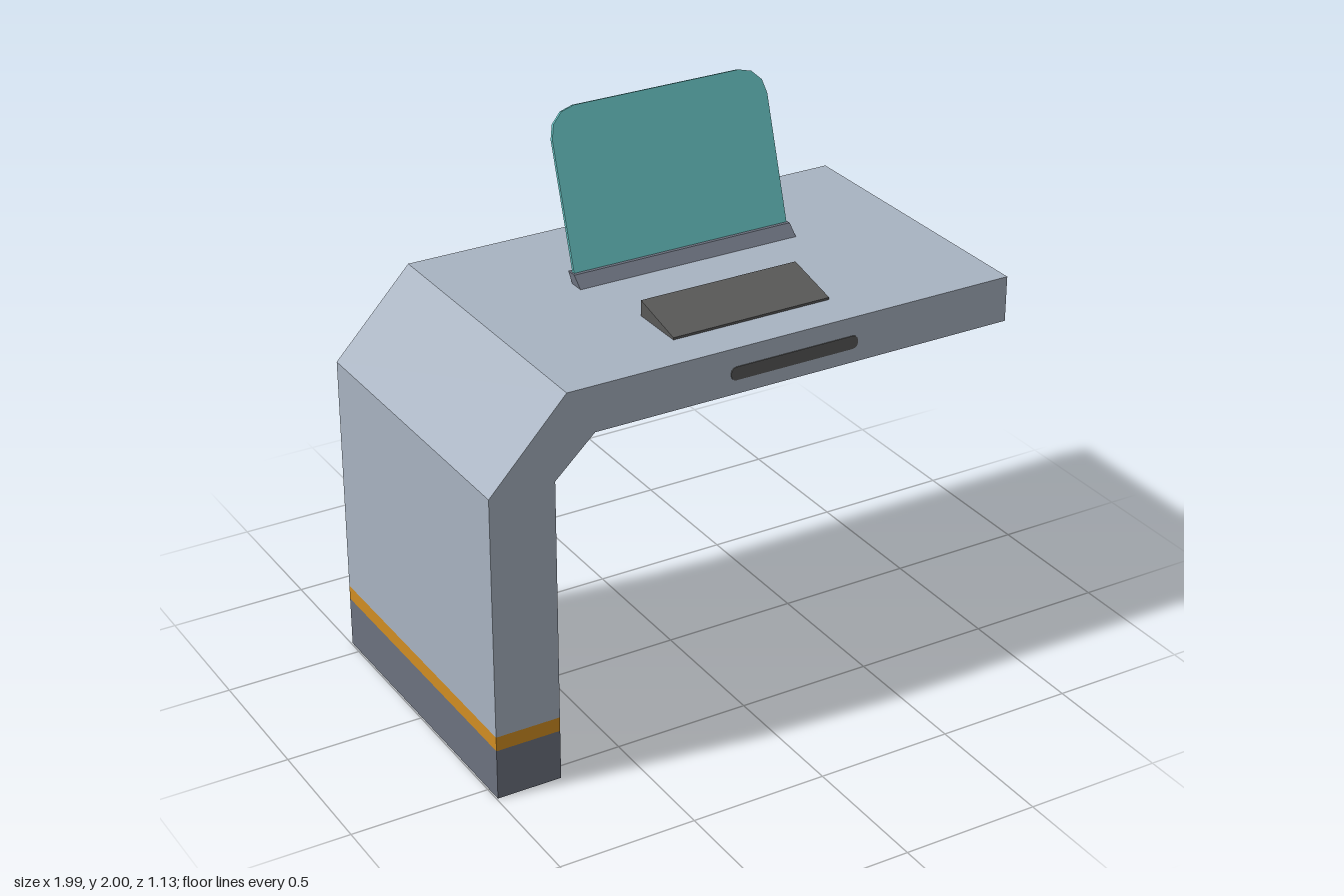
import * as THREE from 'three';

const material = (name, color, side = THREE.FrontSide) => {
  const m = new THREE.MeshStandardMaterial({ color, side });
  m.name = name;
  return m;
};

// Prism along z from a counter-clockwise outline; edges listed in `open` get no wall
function prism(points, z0, z1, open = []) {
  const pos = [];
  const pts = points.map(([x, y]) => new THREE.Vector2(x, y));
  for (const [a, b, c] of THREE.ShapeUtils.triangulateShape(pts, [])) {
    for (const i of [a, b, c]) pos.push(pts[i].x, pts[i].y, z1);
    for (const i of [c, b, a]) pos.push(pts[i].x, pts[i].y, z0);
  }
  pts.forEach((p, i) => {
    if (open.includes(i)) return;
    const q = pts[(i + 1) % pts.length];
    pos.push(p.x, p.y, z1, p.x, p.y, z0, q.x, q.y, z0);
    pos.push(p.x, p.y, z1, q.x, q.y, z0, q.x, q.y, z1);
  });
  const geo = new THREE.BufferGeometry();
  geo.setAttribute('position', new THREE.Float32BufferAttribute(pos, 3));
  geo.computeVertexNormals();
  return geo;
}

// Outline with its corners rounded: r0 at the bottom, r1 at the top
function roundedOutline(x0, x1, y0, y1, r0, r1, steps = 3) {
  const out = [];
  const corner = (cx, cy, r, start) => {
    if (r === 0) return out.push([cx, cy]);
    for (let i = 0; i <= steps; i++) {
      const a = start + (i / steps) * Math.PI / 2;
      out.push([cx + r * Math.cos(a), cy + r * Math.sin(a)]);
    }
  };
  corner(x0 + r0, y0 + r0, r0, Math.PI);
  corner(x1 - r0, y0 + r0, r0, Math.PI * 1.5);
  corner(x1 - r1, y1 - r1, r1, 0);
  corner(x0 + r1, y1 - r1, r1, Math.PI / 2);
  return out;
}

export function createModel() {
  const group = new THREE.Group();
  group.name = 'desk';
  const shell = material('pale grey shell', 0xa8b3c1, THREE.DoubleSide);
  const slate = material('slate grey', 0x6b717e, THREE.DoubleSide);
  const orange = material('orange stripe', 0xd08d22, THREE.DoubleSide);
  const teal = material('teal screen', 0x66c0c0);
  const dark = material('dark grey', 0x595958);

  const add = (name, geo, mat) => {
    const mesh = new THREE.Mesh(geo, mat);
    mesh.name = name;
    group.add(mesh);
    return mesh;
  };

  // Hollow leg and desktop in one bent shell, open at the foot
  const L = -0.995, R = -0.757, D = 0.563;
  const band = (y0, y1) => prism([[L, y0], [R, y0], [R, y1], [L, y1]], -D, D, [0, 2]);
  add('legBase', band(0, 0.187), slate);
  add('legStripe', band(0.187, 0.24), orange);
  add('deskBody', prism([
    [L, 0.24], [R, 0.24], [R, 1.13], [-0.61, 1.267],
    [0.993, 1.267], [0.993, 1.433], [-0.71, 1.433], [L, 1.13],
  ], -D, D, [0]), shell);

  // Slot plate on the front edge
  add('frontSlot', prism(roundedOutline(-0.105, 0.387, 1.318, 1.366, 0.02, 0.02), D - 0.002, D + 0.003), dark);

  // Profiles drawn in (-z, y), swept along x
  const sweepX = (name, profile, x0, x1, mat) => {
    const mesh = add(name, prism(profile, x0, x1), mat);
    mesh.rotation.y = Math.PI / 2;
    return mesh;
  };
  sweepX('keyboard', [[-0.408, 1.433], [-0.198, 1.433], [-0.198, 1.49], [-0.408, 1.441]], -0.23, 0.373, dark);
  sweepX('screenHolder', [[0.08, 1.433], [0.138, 1.433], [0.164, 1.47], [0.122, 1.47]], -0.304, 0.555, slate);

  // Screen leaning back out of its holder
  const screen = add('screen', prism(roundedOutline(-0.297, 0.55, 0, 0.57, 0, 0.1), -0.013, 0), teal);
  screen.position.set(0, 1.457, -0.131);
  screen.rotation.x = -0.307;

  return group;
}
